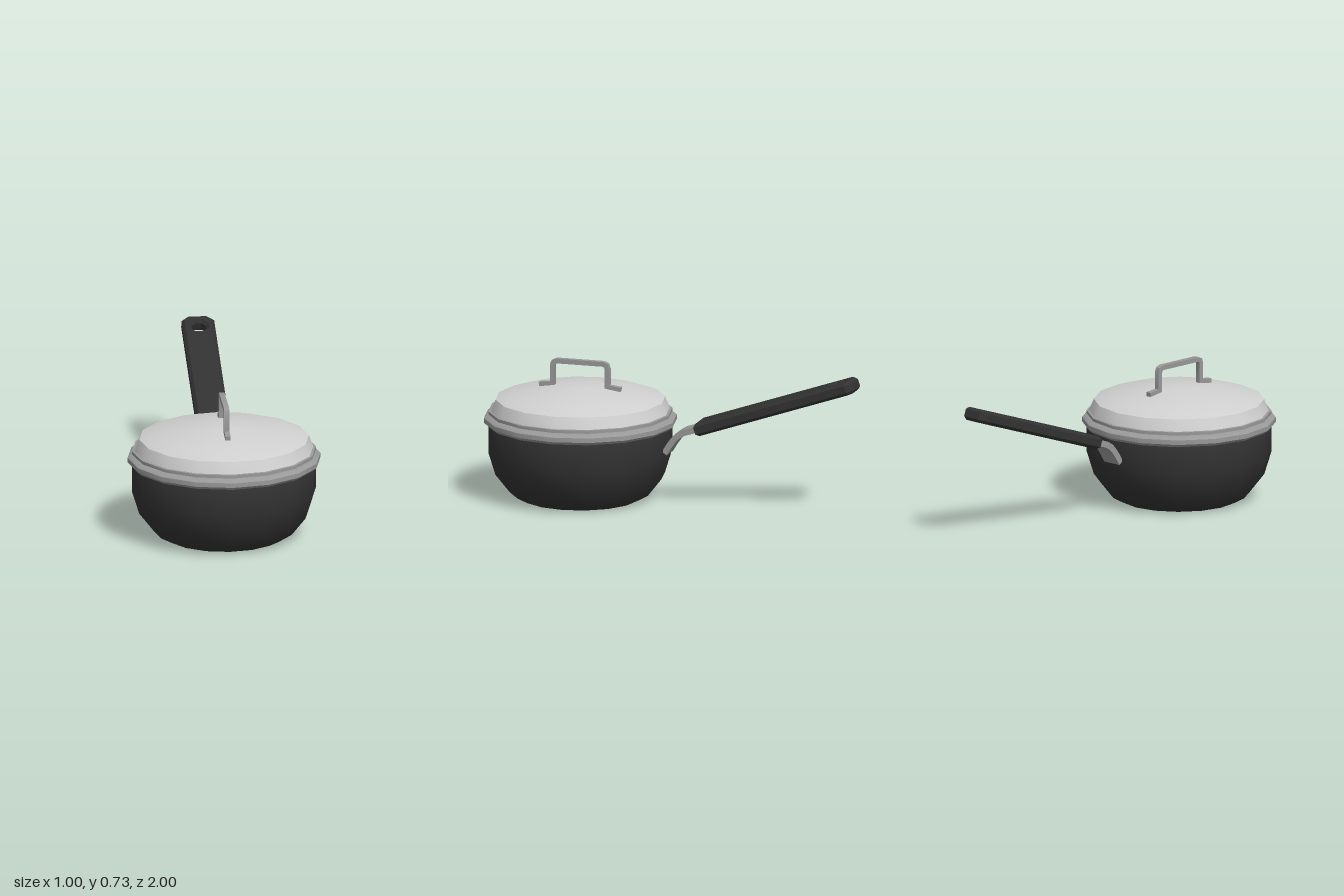
import * as THREE from 'three';
import { toCreasedNormals } from 'three/addons/utils/BufferGeometryUtils.js';

const steel = new THREE.MeshStandardMaterial({ color: 0x999999 });
steel.name = 'brushed steel';
const lidSteel = new THREE.MeshStandardMaterial({ color: 0xd0d0d0 });
lidSteel.name = 'bright lid steel';
const black = new THREE.MeshStandardMaterial({ color: 0x323232 });
black.name = 'black coating';

const PAN_Z = 0.5; // centre of the pan

const vec = ([x, y]) => new THREE.Vector2(x, y);

function add(group, name, geometry, material) {
  const mesh = new THREE.Mesh(geometry, material);
  mesh.name = name;
  group.add(mesh);
  return mesh;
}

// Sixteen-sided turned part, smooth except at sharp edges
function turned(profile, crease = 0.6) {
  const g = new THREE.LatheGeometry(profile.map(vec), 16);
  return toCreasedNormals(g, crease).translate(0, 0, PAN_Z);
}

// Flat bar of given thickness following a [z, y] path, spread across x
function strap(path, thickness, width) {
  const p = path.map(vec);
  const side = (s) => p.map((q, i) => {
    const a = q.clone().sub(p[Math.max(i - 1, 0)]).normalize();
    const b = p[Math.min(i + 1, p.length - 1)].clone().sub(q).normalize();
    const t = a.add(b).normalize();
    const d = i > 0 && i < p.length - 1
      ? t.dot(p[i + 1].clone().sub(q).normalize()) : 1;
    return new THREE.Vector2(q.x - t.y * s / d, q.y + t.x * s / d);
  });
  const outline = [...side(thickness / 2), ...side(-thickness / 2).reverse()];
  const g = new THREE.ExtrudeGeometry(new THREE.Shape(outline), { depth: width, bevelEnabled: false });
  g.translate(0, 0, -width / 2).rotateY(-Math.PI / 2);
  return toCreasedNormals(g, 0.5);
}

// Chamfered grip with a hanging hole, lying along a tilted axis
function gripGeometry() {
  const bevel = 0.015, w = 0.07, len = 0.898, cut = 0.025;
  const shape = new THREE.Shape([
    [-w, bevel], [w, bevel], [w, len - bevel - cut], [w - cut, len - bevel],
    [cut - w, len - bevel], [-w, len - bevel - cut],
  ].map(vec));
  const hole = new THREE.Path();
  const r = 0.056;
  for (let i = 0; i < 8; i++) {
    const a = -(i + 0.5) * Math.PI / 4;
    const x = r * Math.cos(a), y = 0.805 + r * Math.sin(a);
    if (i) hole.lineTo(x, y); else hole.moveTo(x, y);
  }
  hole.closePath();
  shape.holes.push(hole);
  const depth = 0.038;
  return new THREE.ExtrudeGeometry(shape, {
    depth, bevelThickness: bevel, bevelSize: bevel, bevelSegments: 1,
  }).translate(0, 0, -depth / 2).rotateX(-1.242).translate(0, 0.413, -0.143);
}

export function createModel() {
  const model = new THREE.Group();
  model.name = 'saucepan';

  // Pan body, outside then inside
  add(model, 'panBody', turned([
    [0, 0], [0.31, 0], [0.365, 0.03], [0.44, 0.125], [0.477, 0.245], [0.477, 0.39],
    [0.46, 0.42], [0.455, 0.25], [0.42, 0.14], [0.3, 0.025], [0, 0.02],
  ], 0.75), black);

  // Rolled rim
  add(model, 'rim', turned([
    [0.474, 0.385], [0.482, 0.387], [0.5, 0.403], [0.5, 0.427], [0.476, 0.442],
    [0.455, 0.442], [0.455, 0.385],
  ]), steel);

  // Lid with its edge band
  const lid = new THREE.Group();
  lid.name = 'lid';
  model.add(lid);
  add(lid, 'lidDome', turned([
    [0, 0.57], [0.34, 0.53], [0.425, 0.505], [0.452, 0.45], [0.465, 0.46],
    [0.44, 0.524], [0.347, 0.555], [0.09, 0.594], [0, 0.596],
  ], 0.8), lidSteel);
  add(lid, 'lidBand', turned([
    [0.452, 0.447], [0.477, 0.447], [0.477, 0.463], [0.462, 0.464],
  ]), steel);

  // Lid handle: two feet, two legs, chamfered bridge
  const half = [[0.22, 0.584], [0.148, 0.592], [0.148, 0.69], [0.142, 0.707], [0.125, 0.714]];
  const bridge = [
    ...half.map(([z, y]) => [PAN_Z - z, y]),
    ...half.map(([z, y]) => [PAN_Z + z, y]).reverse(),
  ];
  add(lid, 'lidHandle', strap(bridge, 0.025, 0.028), steel);

  // Curved bracket joining pan and grip
  add(model, 'handleBracket', strap([
    [0.028, 0.275], [0.002, 0.318], [-0.023, 0.352], [-0.045, 0.374],
    [-0.075, 0.391], [-0.145, 0.413], [-0.22, 0.438],
  ], 0.032, 0.11), steel);

  add(model, 'handleGrip', gripGeometry(), black);
  return model;
}
